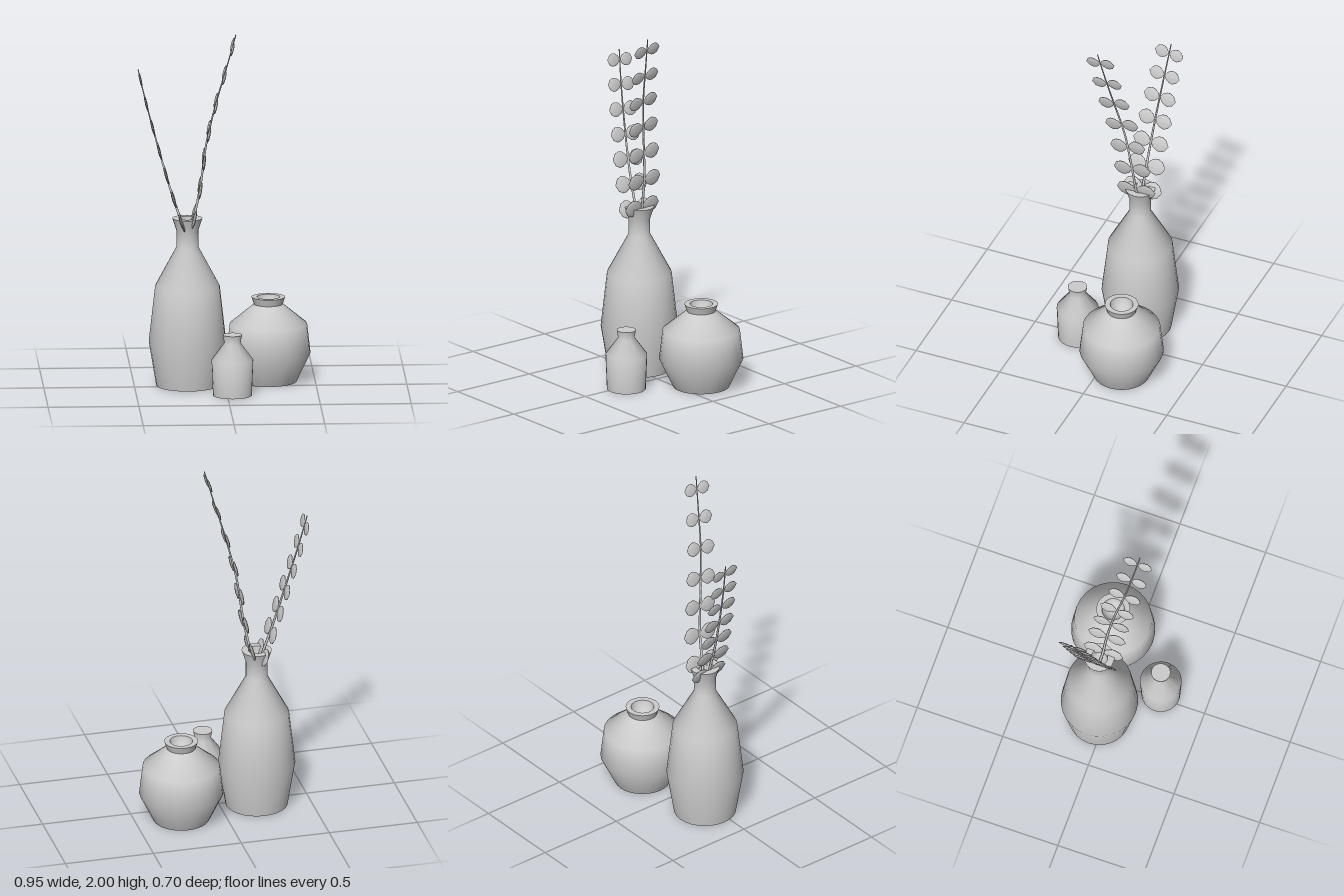
import * as THREE from 'three';
import { toCreasedNormals } from 'three/addons/utils/BufferGeometryUtils.js';

const material = new THREE.MeshStandardMaterial({ color: 0xcccccc, side: THREE.DoubleSide });

// Turned vessel; the profile runs from the base centre, up the wall and into the mouth
function vase(name, x, z, profile) {
  const points = profile.map(([r, y]) => new THREE.Vector2(r, y));
  const mesh = new THREE.Mesh(toCreasedNormals(new THREE.LatheGeometry(points, 28), 0.87), material);
  mesh.name = name;
  mesh.position.set(x, 0, z);
  return mesh;
}

// Flattened leaf of unit length along +x, pointed at both ends
function leafGeometry() {
  const outline = [[0, 0], [0.27, 0.16], [0.42, 0.38], [0.45, 0.58], [0.33, 0.82], [0, 1]];
  const geometry = new THREE.LatheGeometry(outline.map(([r, y]) => new THREE.Vector2(r, y)), 10);
  geometry.rotateZ(-Math.PI / 2);
  geometry.scale(1, 1, 0.16);
  geometry.computeVertexNormals();
  return geometry;
}

// Tapered stem with pairs of leaves spread to the front and back
function branch(name, path, firstY, lastY, leafGeo) {
  const group = new THREE.Group();
  group.name = name;
  const curve = new THREE.CatmullRomCurve3(path.map((p) => new THREE.Vector3(...p)));
  const steps = 24, sides = 6;
  const stemGeo = new THREE.TubeGeometry(curve, steps, 0.008, sides);
  const pos = stemGeo.attributes.position;
  const v = new THREE.Vector3();
  for (let i = 0; i < pos.count; i++) {
    const t = Math.floor(i / (sides + 1)) / steps;
    v.fromBufferAttribute(pos, i).lerp(curve.getPointAt(t), 0.6 * t);
    pos.setXYZ(i, v.x, v.y, v.z);
  }
  const stem = new THREE.Mesh(stemGeo, material);
  stem.name = 'stem';
  group.add(stem);

  const pairs = 7;
  for (let i = 0; i < pairs; i++) {
    const y = THREE.MathUtils.lerp(firstY, lastY, i / (pairs - 1));
    const size = THREE.MathUtils.lerp(0.116, 0.086, i / (pairs - 1));
    // Find where the stem reaches this height
    let low = 0, high = 1;
    for (let k = 0; k < 20; k++) {
      const mid = (low + high) / 2;
      if (curve.getPointAt(mid).y < y) low = mid; else high = mid;
    }
    const up = curve.getTangentAt(low);
    for (const side of [-1, 1]) {
      const out = new THREE.Vector3(0, 0, side).addScaledVector(up, -side * up.z).normalize();
      const leaf = new THREE.Mesh(leafGeo, material);
      leaf.name = 'leaf';
      leaf.quaternion.setFromRotationMatrix(
        new THREE.Matrix4().makeBasis(out, up, new THREE.Vector3().crossVectors(out, up)));
      leaf.position.copy(curve.getPointAt(low));
      leaf.scale.setScalar(size);
      group.add(leaf);
    }
  }
  return group;
}

export function createModel() {
  const model = new THREE.Group();
  model.name = 'vaseArrangement';

  model.add(
    vase('tallVase', -0.207, -0.04, [
      [0, 0], [0.172, 0], [0.213, 0.25], [0.178, 0.56], [0.06, 0.78], [0.06, 0.87],
      [0.083, 0.94], [0.046, 0.94], [0.04, 0.86], [0, 0.83]]),
    vase('roundVase', 0.243, -0.12, [
      [0, 0], [0.155, 0], [0.232, 0.16], [0.213, 0.325], [0.08, 0.435],
      [0.093, 0.475], [0.063, 0.475], [0.054, 0.435], [0.03, 0.415], [0, 0.408]]),
    vase('smallVase', 0.028, 0.235, [
      [0, 0], [0.107, 0], [0.115, 0.2], [0.045, 0.295], [0.053, 0.34], [0.05, 0.34], [0, 0.337]]),
  );

  const leafGeo = leafGeometry();
  model.add(
    branch('leftBranch', [
      [-0.195, 0.85, -0.04], [-0.175, 0.93, -0.032], [-0.137, 1.12, -0.02], [-0.105, 1.37, 0.01],
      [-0.05, 1.62, 0.055], [0, 1.8, 0.08], [0.053, 2, 0.105]], 0.95, 1.93, leafGeo),
    branch('rightBranch', [
      [-0.215, 0.85, -0.035], [-0.24, 0.92, -0.04], [-0.3, 1.1, -0.048], [-0.36, 1.31, -0.063],
      [-0.43, 1.57, -0.088], [-0.476, 1.765, -0.11]], 0.92, 1.71, leafGeo),
  );
  return model;
}
